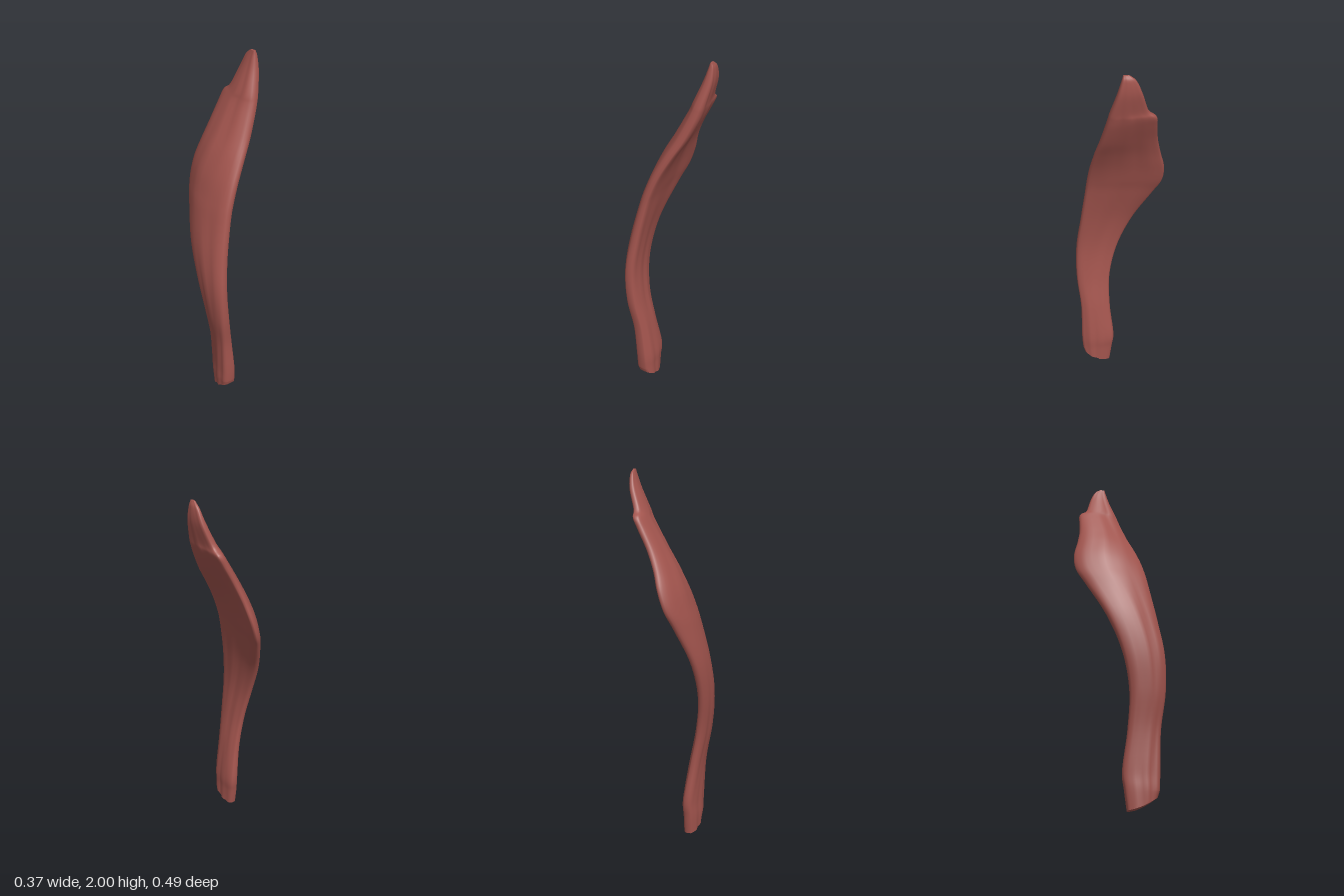
import * as THREE from 'three';

// Cross-sections: [y, front edge x, z, back edge x, z, bow, thickness]
const SECTIONS = [
  [0.00, -0.004, 0.185, -0.060, 0.045, 0.00, 0.084],
  [0.10, -0.006, 0.196, -0.064, 0.032, 0.00, 0.088],
  [0.20, -0.007, 0.202, -0.065, 0.022, 0.00, 0.088],
  [0.40, -0.020, 0.209, -0.084, 0.052, 0.00, 0.076],
  [0.60, -0.038, 0.239, -0.116, 0.066, 0.005, 0.072],
  [0.80, -0.048, 0.240, -0.152, 0.034, 0.010, 0.068],
  [1.00, -0.038, 0.206, -0.168, -0.047, 0.021, 0.066],
  [1.20, -0.014, 0.166, -0.148, -0.165, 0.034, 0.064],
  [1.30, 0.006, 0.144, -0.129, -0.222, 0.040, 0.065],
  [1.40, 0.036, 0.114, -0.102, -0.239, 0.044, 0.067],
  [1.50, 0.074, 0.074, -0.068, -0.228, 0.038, 0.070],
  [1.60, 0.114, 0.028, -0.026, -0.224, 0.028, 0.074],
  [1.70, 0.144, -0.011, 0.022, -0.235, 0.019, 0.074],
  [1.76, 0.158, -0.032, 0.052, -0.239, 0.014, 0.070],
  [1.80, 0.165, -0.046, 0.078, -0.206, 0.011, 0.065],
  [1.90, 0.176, -0.084, 0.122, -0.191, 0.006, 0.050],
  [1.97, 0.176, -0.105, 0.144, -0.168, 0.00, 0.030],
  [2.00, 0.173, -0.112, 0.158, -0.137, 0.00, 0.012],
];
const STEPS = 6; // rings between cross-sections
const HALF = 16; // points along each face of the blade

function spline(pick) {
  return new THREE.CatmullRomCurve3(SECTIONS.map(pick), false, 'catmullrom', 0.5);
}

// Closed ring running front to back on the outer face, then back again inside
function ring(t, curves) {
  const a = curves.front.getPoint(t);
  const b = curves.back.getPoint(t);
  const shape = curves.shape.getPoint(t);
  const dx = b.x - a.x, dz = b.z - a.z, len = Math.hypot(dx, dz);
  const nx = dz / len, nz = -dx / len; // outward, towards -x
  const lift = 0.07 * Math.max(0, 1 - a.y / 0.1); // slanted foot
  const points = [];
  for (let j = 0; j < HALF * 2; j++) {
    const outer = j < HALF;
    const angle = (Math.PI * j) / HALF;
    const s = (1 - Math.cos(angle)) / 2;
    // Thick front edge, thinner back edge
    const bulge = Math.pow(Math.abs(Math.sin(angle)), 0.6) * (1.2 - 0.4 * s) * shape.z / 2;
    // Shallow lengthwise furrows that drift with height
    const furrow = 1 + 0.1 * Math.sin(s * 19 + a.y * 2.2 + (outer ? 0 : 2)) * Math.sin(a.y * 4 + s * 3);
    // The inner face is hollowed less than the outer face swells
    const bow = (outer ? 1 : 0.5) * shape.y * 4 * s * (1 - s) * (0.7 + 0.6 * s);
    const off = bow + (outer ? 1 : -1) * bulge * furrow;
    points.push(new THREE.Vector3(
      a.x + dx * s + nx * off,
      a.y + lift * (1 - s) ** 1.6,
      a.z + dz * s + nz * off));
  }
  return points;
}

function loft(rings) {
  const n = HALF * 2;
  const index = [];
  for (let i = 0; i < rings.length - 1; i++) {
    for (let j = 0; j < n; j++) {
      const a = i * n + j, b = i * n + (j + 1) % n;
      index.push(a, a + n, b, b, a + n, b + n);
    }
  }
  const geometry = new THREE.BufferGeometry().setFromPoints(rings.flat());
  geometry.setIndex(index);
  geometry.computeVertexNormals();
  return geometry;
}

function cap(points, up) {
  const n = points.length;
  const centre = points.reduce((sum, p) => sum.add(p), new THREE.Vector3()).divideScalar(n);
  const index = [];
  for (let j = 0; j < n; j++) {
    const k = (j + 1) % n;
    index.push(n, up ? k : j, up ? j : k);
  }
  const geometry = new THREE.BufferGeometry().setFromPoints([...points, centre]);
  geometry.setIndex(index);
  geometry.computeVertexNormals();
  return geometry;
}

export function createModel() {
  const group = new THREE.Group();
  group.name = 'curvedSlab';
  const material = new THREE.MeshStandardMaterial({ color: 0xa3554e });
  material.name = 'reddishBrown';

  const curves = {
    front: spline((r) => new THREE.Vector3(r[1], r[0], r[2])),
    back: spline((r) => new THREE.Vector3(r[3], r[0], r[4])),
    shape: spline((r) => new THREE.Vector3(r[0], r[5], r[6])),
  };
  const count = (SECTIONS.length - 1) * STEPS;
  const rings = [];
  for (let i = 0; i <= count; i++) rings.push(ring(i / count, curves));

  const add = (name, geometry) => {
    const mesh = new THREE.Mesh(geometry, material);
    mesh.name = name;
    group.add(mesh);
  };
  add('blade', loft(rings));
  add('foot', cap(rings[0], false));
  add('tip', cap(rings[count], true));
  return group;
}
